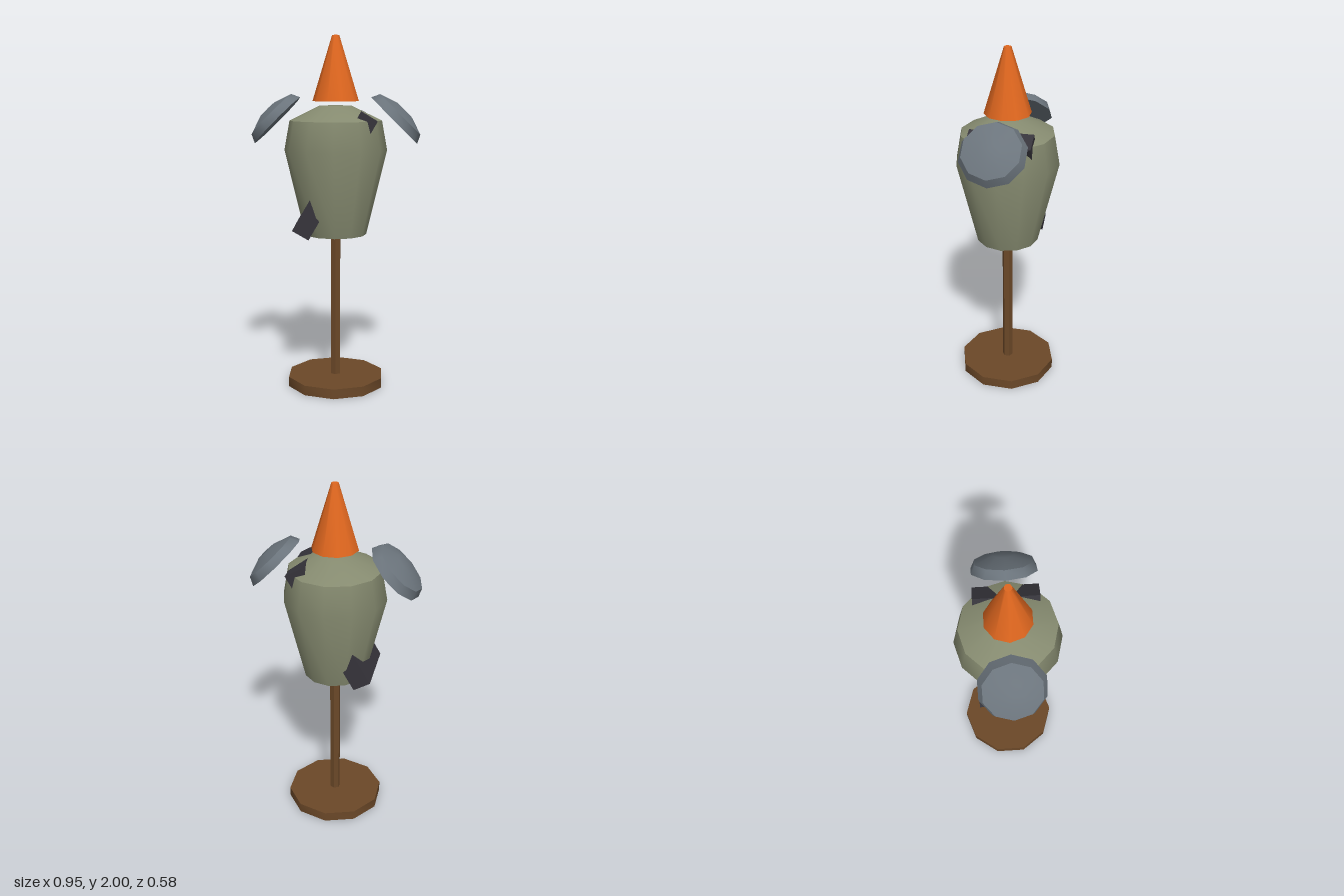
import * as THREE from 'three';
import { toCreasedNormals } from 'three/addons/utils/BufferGeometryUtils.js';

const mat = (name, color) => {
  const m = new THREE.MeshStandardMaterial({ color });
  m.name = name;
  return m;
};

export function createModel() {
  const wood = mat('wood', 0x6b4828);
  const canvas = mat('olive canvas', 0x868b70);
  const orange = mat('orange', 0xe0671f);
  const steel = mat('grey steel', 0x6b747c);
  const leather = mat('dark leather', 0x36343b);

  const model = new THREE.Group();
  model.name = 'trainingDummy';

  const add = (name, geometry, material) => {
    const mesh = new THREE.Mesh(geometry, material);
    mesh.name = name;
    model.add(mesh);
    return mesh;
  };
  // Closed turned solid from [radius, height] pairs, bottom to top
  const turned = (profile, sides) => toCreasedNormals(
    new THREE.LatheGeometry(profile.map(([r, y]) => new THREE.Vector2(r, y)), sides), 0.7);

  // Stand
  add('base', turned([[0, 0], [0.28, 0], [0.28, 0.056], [0, 0.056]], 10), wood);
  add('pole', turned([[0, 0.05], [0.03, 0.05], [0.03, 0.95], [0, 0.95]], 6), wood);

  // Torso
  add('torso', turned([
    [0, 0.885], [0.175, 0.885], [0.29, 1.365], [0.26, 1.53], [0.09, 1.613], [0, 1.613],
  ], 12), canvas);

  // Cone head
  const head = add('coneHead', turned([[0, 1.638], [0.13, 1.638], [0.02, 2], [0, 2]], 10), orange);
  head.rotation.y = Math.PI / 2;

  // Diagonal strap passing through the torso
  const strap = add('strap', new THREE.BoxGeometry(0.105, 0.755, 0.352), leather);
  strap.position.set(0, 1.23, 0);
  strap.rotation.z = -Math.PI / 6;

  // Shoulder plates, tilted outwards
  const plate = turned([[0, 0], [0.183, 0], [0.16, 0.048], [0.06, 0.082], [0, 0.082]], 10);
  plate.rotateY(Math.PI / 2);
  for (const side of [1, -1]) {
    const pad = add(side > 0 ? 'leftShoulderPlate' : 'rightShoulderPlate', plate, steel);
    pad.position.set(side * 0.328, 1.53, 0);
    // Same turn for both sides, so vertices stay aligned when mirrored
    pad.rotation.set(0, side > 0 ? 0 : Math.PI, -Math.PI / 4, 'YXZ');
  }

  return model;
}
